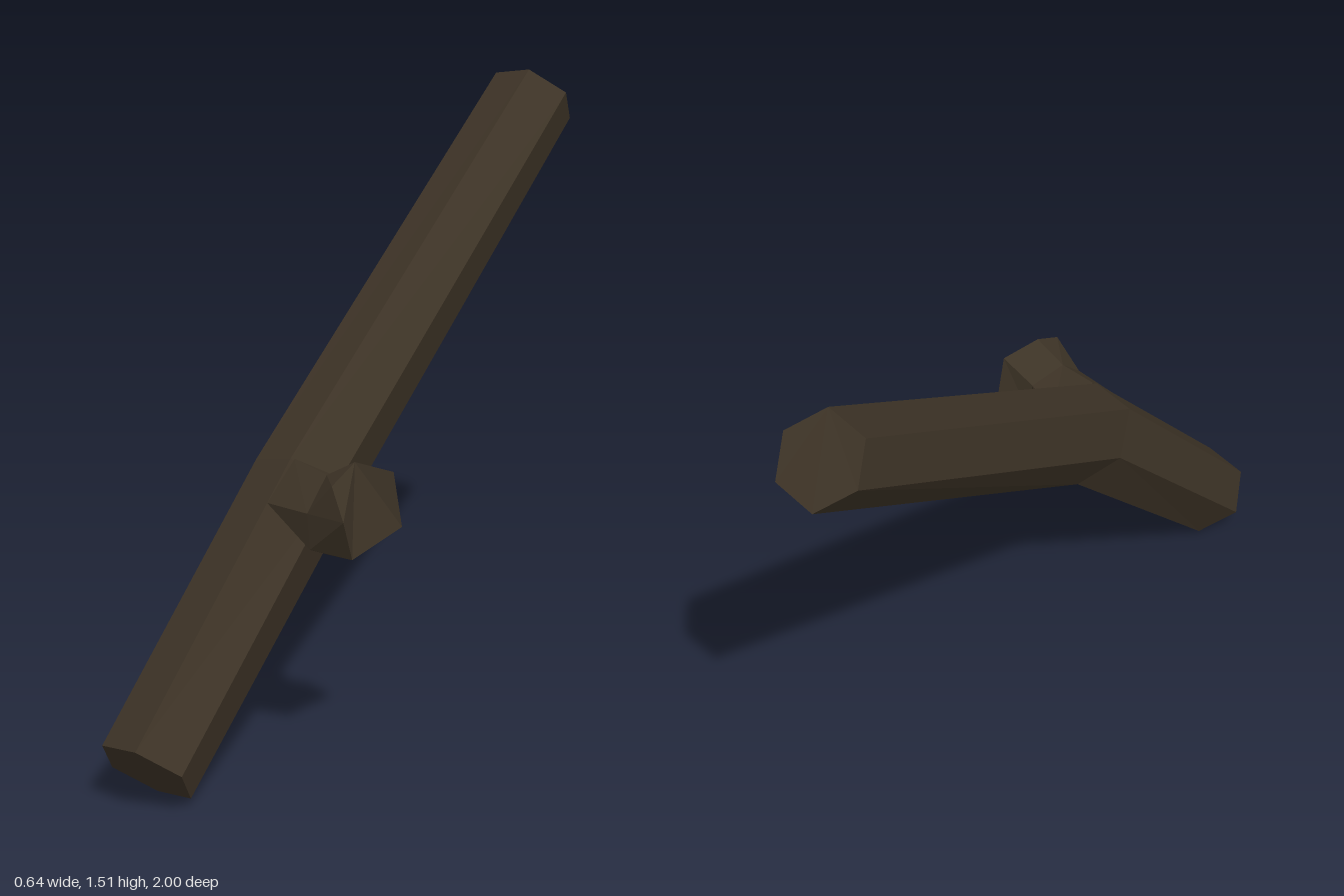
import * as THREE from 'three';

// Skin a row of six-sided rings and close both ends, with flat faces
function loft(rings) {
  const pos = [];
  const tri = (a, b, c) => pos.push(...a, ...b, ...c);
  const n = rings[0].length;
  for (let r = 0; r < rings.length - 1; r++) {
    const p = rings[r], q = rings[r + 1];
    for (let i = 0; i < n; i++) {
      const j = (i + 1) % n;
      tri(p[i], q[i], p[j]);
      tri(p[j], q[i], q[j]);
    }
  }
  const first = rings[0], last = rings[rings.length - 1];
  for (let i = 1; i < n - 1; i++) {
    tri(first[0], first[i], first[i + 1]);
    tri(last[0], last[i + 1], last[i]);
  }
  const geo = new THREE.BufferGeometry();
  geo.setAttribute('position', new THREE.Float32BufferAttribute(pos, 3));
  geo.computeVertexNormals();
  return geo;
}

// Point-symmetric hexagon: three corners and their opposites
function hexRing([cx, cy, cz], offsets) {
  const at = (o, s) => [cx + s * o[0], cy + s * o[1], cz + s * o[2]];
  return [...offsets.map(o => at(o, 1)), ...offsets.map(o => at(o, -1))];
}

export function createModel() {
  const group = new THREE.Group();
  group.name = 'stick';
  const bark = new THREE.MeshStandardMaterial({ color: 0x3d3326 });
  bark.name = 'dark bark';

  const add = (name, rings) => {
    const mesh = new THREE.Mesh(loft(rings), bark);
    mesh.name = name;
    group.add(mesh);
  };

  // Bent main stem: lower end, bend, upper end
  add('stem', [
    hexRing([-0.212, 0.086, 0.91], [[0.01, 0.083, 0.09], [-0.098, 0.065, 0.03], [-0.108, -0.02, -0.05]]),
    hexRing([-0.022, 0.65, 0.345], [[0.007, 0.09, 0.105], [-0.1, 0.065, 0.055], [-0.107, -0.02, -0.05]]),
    hexRing([0.21, 1.43, -0.918], [[0.01, 0.083, 0.085], [-0.098, 0.062, 0.028], [-0.106, -0.02, -0.052]]),
  ]);

  // Broken side branch: root on the stem, neck, flared end
  add('branchStub', [
    [[-0.005, 0.74, 0.45], [0.08, 0.68, 0.37], [0.075, 0.58, 0.32], [0.05, 0.5, 0.38], [0.04, 0.55, 0.51], [-0.045, 0.65, 0.535]],
    [[0.1, 0.728, 0.52], [0.165, 0.69, 0.455], [0.17, 0.59, 0.45], [0.11, 0.53, 0.52], [0.085, 0.565, 0.6], [0.08, 0.655, 0.605]],
    [[0.18, 0.775, 0.55], [0.255, 0.74, 0.485], [0.27, 0.6, 0.465], [0.19, 0.55, 0.6], [0.185, 0.655, 0.65], [0.15, 0.735, 0.63]],
  ]);

  return group;
}
